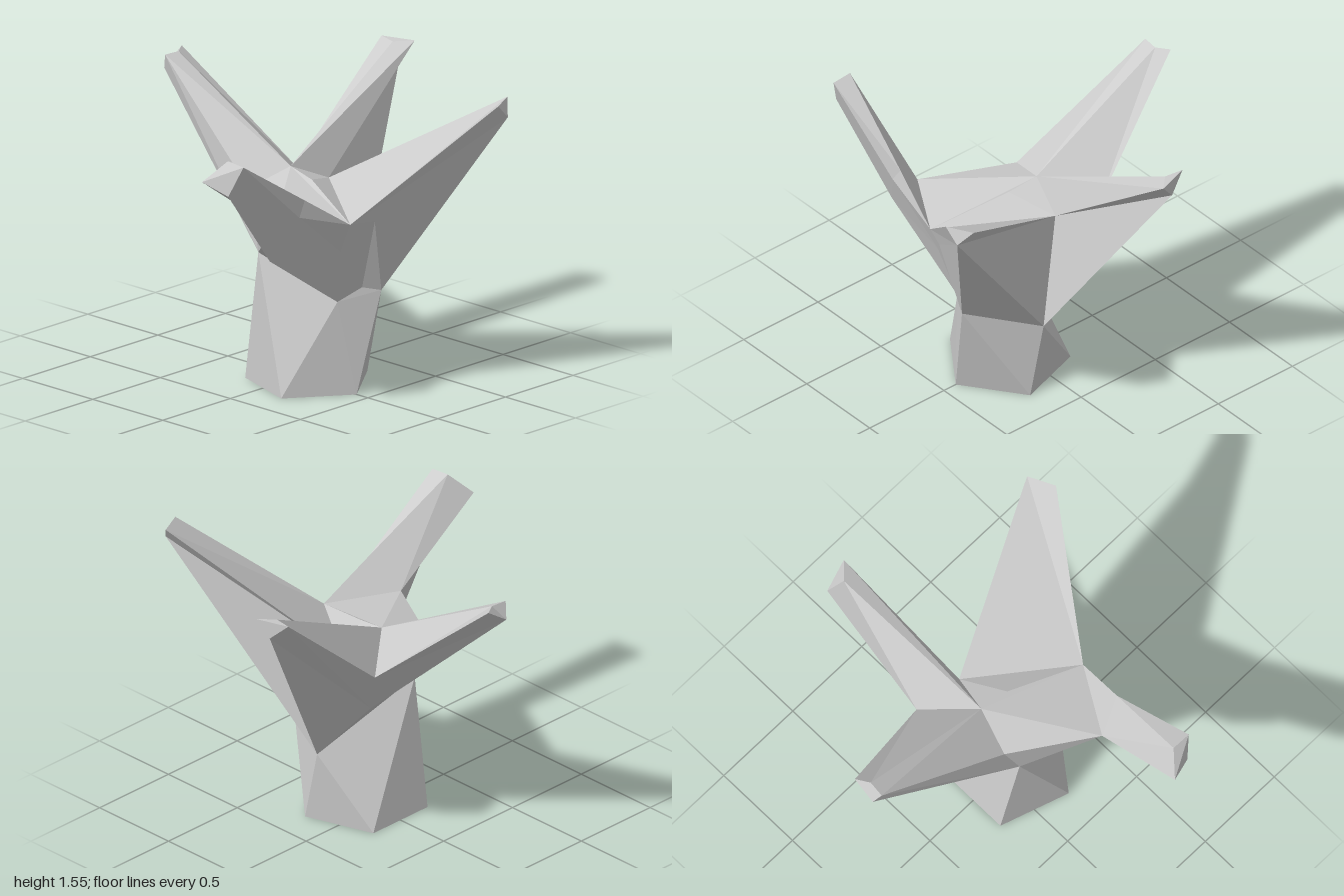
import * as THREE from 'three';

// Shared corner points; neighbouring parts meet exactly on them
const P = {
  // top ring of the trunk
  v0: [0.12, 0.55, 0.48], v1: [0.32, 0.40, 0.10], v2: [-0.22, 0.71, -0.07], v3: [-0.07, 0.50, 0.35],
  // crown hub, rim and crotches
  hub: [0.02, 1.08, 0.08], m: [0.04, 1.11, -0.09], n: [-0.12, 0.96, 0.49], q: [0.26, 1.01, -0.03],
  l: [-0.20, 1.03, -0.16], k: [-0.47, 0.98, 0.28], w: [0.30, 1.00, -0.30], u: [0.20, 0.73, -0.17],
  t: [0.01, 0.96, 0.54], x: [-0.13, 0.80, 0.43], y: [0.04, 0.57, 0.42],
  // front limb tip
  a1: [0.52, 1.55, 0.93], a2: [0.66, 1.555, 0.86], a3: [0.60, 1.47, 0.92],
  // left limb tip
  d1: [1.00, 1.555, -0.13], d2: [0.94, 1.555, -0.31], dm: [0.92, 1.55, -0.21], db: [0.975, 1.46, -0.21],
  // back limb tip
  b1: [-0.05, 1.55, -0.90], bm: [0.04, 1.55, -0.89], b2: [0.11, 1.555, -0.935], bb: [-0.02, 1.465, -0.935],
  // right limb: tip, elbow and ridge
  c1: [-1.00, 1.35, 0.28], c2: [-0.90, 1.46, 0.37], c3: [-0.90, 1.45, 0.48], c4: [-0.95, 1.29, 0.42],
  g: [-0.58, 0.84, 0.36], r: [-0.41, 1.15, 0.445], j: [-0.46, 1.07, 0.455],
};
// Pentagon on the ground
for (let i = 0; i < 5; i++) {
  const a = (i * Math.PI * 2) / 5;
  P['p' + i] = [0.335 * Math.sin(a), 0, 0.085 + 0.335 * Math.cos(a)];
}

// Each part is a list of faces, given as corner names counter-clockwise from outside
const PARTS = {
  trunk: ['p0 p1 v0', 'p1 v1 v0', 'p1 p2 v1', 'p2 v2 v1', 'p2 p3 v2', 'p3 p4 v2',
    'p4 v3 v2', 'p4 p0 v3', 'p0 v0 v3', 'p4 p3 p2 p1 p0'],
  frontLimb: ['a3 t v0 v1', 'q a2 a3 v1', 'n a1 a2 q', 'n t a3 a1', 'a3 a2 a1'],
  leftLimb: ['q v1 db d1', 'v1 u db', 'u w d2 db', 'm q d1 dm', 'dm d2 w m', 'd1 db d2 dm'],
  backLimb: ['u v2 bb', 'w u bb b2', 'w b2 bm m', 'm bm b1 l', 'v2 l b1 bb', 'bb b1 bm b2'],
  rightLimb: ['k v2 v3 g', 'k g c4 c1', 'k c1 c2 r n', 'r c2 c3 j', 'n r j', 'j c3 g',
    'c3 c4 g', 'c1 c4 c3 c2', 'g v3 x', 'j g x', 'n j x'],
  crown: ['hub n q', 'hub q m', 'hub m n', 'n m k', 'm l k', 'l v2 k', 'v1 v2 u',
    'n x t', 'v3 v0 y', 'v0 t y', 't x y', 'x v3 y'],
};

// Fan each face into triangles with its own corners for hard facets
function facetGeometry(faces) {
  const pos = [];
  for (const face of faces) {
    const c = face.split(' ').map((name) => P[name]);
    for (let i = 1; i < c.length - 1; i++) pos.push(...c[0], ...c[i], ...c[i + 1]);
  }
  const geo = new THREE.BufferGeometry();
  geo.setAttribute('position', new THREE.Float32BufferAttribute(pos, 3));
  geo.computeVertexNormals();
  return geo;
}

export function createModel() {
  const group = new THREE.Group();
  group.name = 'treeStump';
  const wood = new THREE.MeshStandardMaterial({ color: 0xcccccc, flatShading: true });
  for (const [name, faces] of Object.entries(PARTS)) {
    const mesh = new THREE.Mesh(facetGeometry(faces), wood);
    mesh.name = name;
    group.add(mesh);
  }
  return group;
}
